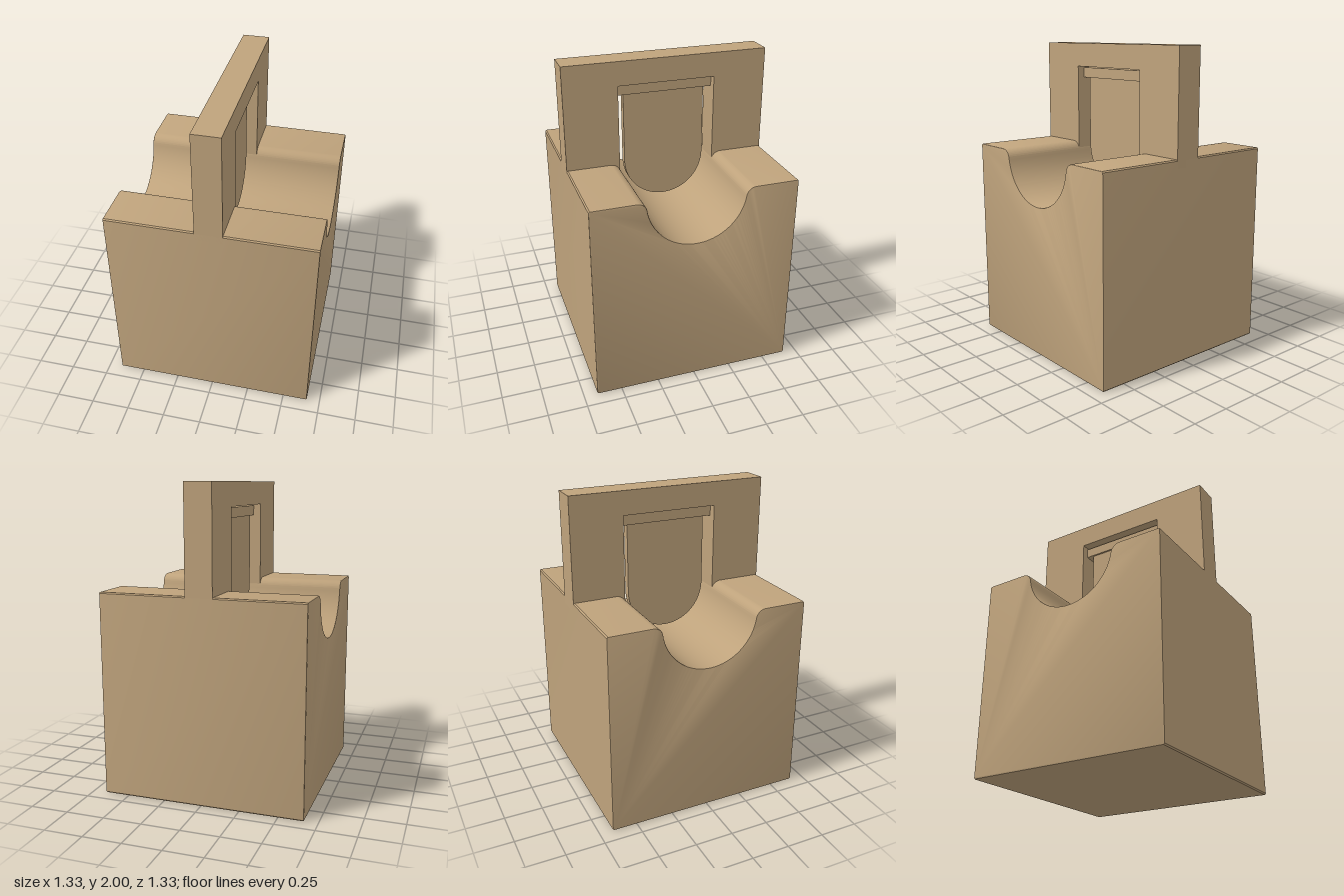
import * as THREE from 'three';
import { toCreasedNormals } from 'three/addons/utils/BufferGeometryUtils.js';

const HALF = 0.663;      // half width of the block
const TOP = 1.326;       // top of the block
const GROOVE_R = 0.316;  // groove radius
const GROOVE_Y = 1.316;  // height of the groove axis
const FILLET = 0.065;    // rounding of the groove lips
const EDGE = 0.008;      // fine rounding of the block edges

// Extrudes a side profile (drawn in z, y) symmetrically across x
function extrudeAcross(shape, width, bevel = 0) {
  const geometry = new THREE.ExtrudeGeometry(shape, {
    depth: width - 2 * bevel,
    curveSegments: 40,
    bevelEnabled: bevel > 0,
    bevelSize: bevel,
    bevelThickness: bevel,
    bevelOffset: -bevel,
    bevelSegments: 2,
  });
  geometry.translate(0, 0, -(width - 2 * bevel) / 2);
  geometry.rotateY(Math.PI / 2);
  return toCreasedNormals(geometry, 0.5);
}

// Block side: square with a round groove and filleted lips
function blockShape() {
  const lipY = TOP - FILLET;
  const lipZ = Math.sqrt((GROOVE_R + FILLET) ** 2 - (GROOVE_Y - lipY) ** 2);
  const a = Math.atan2(GROOVE_Y - lipY, lipZ); // tangent angle below the axis
  const s = new THREE.Shape();
  s.moveTo(-HALF + EDGE, 0);
  s.lineTo(HALF - EDGE, 0);
  s.lineTo(HALF, EDGE);
  s.lineTo(HALF, TOP - EDGE);
  s.lineTo(HALF - EDGE, TOP);
  s.absarc(lipZ, lipY, FILLET, Math.PI / 2, Math.PI - a, false);
  s.absarc(0, GROOVE_Y, GROOVE_R, -a, -Math.PI + a, true);
  s.absarc(-lipZ, lipY, FILLET, a, Math.PI / 2, false);
  s.lineTo(-HALF + EDGE, TOP);
  s.lineTo(-HALF, TOP - EDGE);
  s.lineTo(-HALF, EDGE);
  s.closePath();
  return s;
}

// Upright plate: an arch standing on the block
function frameShape() {
  const s = new THREE.Shape();
  const foot = 1.27, head = 1.845;
  s.moveTo(-HALF, foot);
  s.lineTo(-GROOVE_R, foot);
  s.lineTo(-GROOVE_R, head);
  s.lineTo(GROOVE_R, head);
  s.lineTo(GROOVE_R, foot);
  s.lineTo(HALF, foot);
  s.lineTo(HALF, 2);
  s.lineTo(-HALF, 2);
  s.closePath();
  return s;
}

// Hanging flap with a half-round lower end
function flapShape() {
  const r = 0.268;
  const s = new THREE.Shape();
  s.moveTo(r, 1.78);
  s.lineTo(-r, 1.78);
  s.absarc(0, GROOVE_Y, r, Math.PI, Math.PI * 2, false);
  s.closePath();
  return s;
}

export function createModel() {
  const model = new THREE.Group();
  const tan = new THREE.MeshStandardMaterial({ color: 0xbfa37c });
  tan.name = 'tan';

  const add = (name, geometry) => {
    const mesh = new THREE.Mesh(geometry, tan);
    mesh.name = name;
    model.add(mesh);
    return mesh;
  };

  add('groovedBlock', extrudeAcross(blockShape(), HALF * 2, EDGE));
  add('uprightFrame', extrudeAcross(frameShape(), 0.176));
  add('flap', extrudeAcross(flapShape(), 0.05));

  // Bar carrying the flap just under the frame's lintel
  add('flapBar', new THREE.BoxGeometry(0.075, 0.067, GROOVE_R * 2)).position.y = 1.802;

  return model;
}
